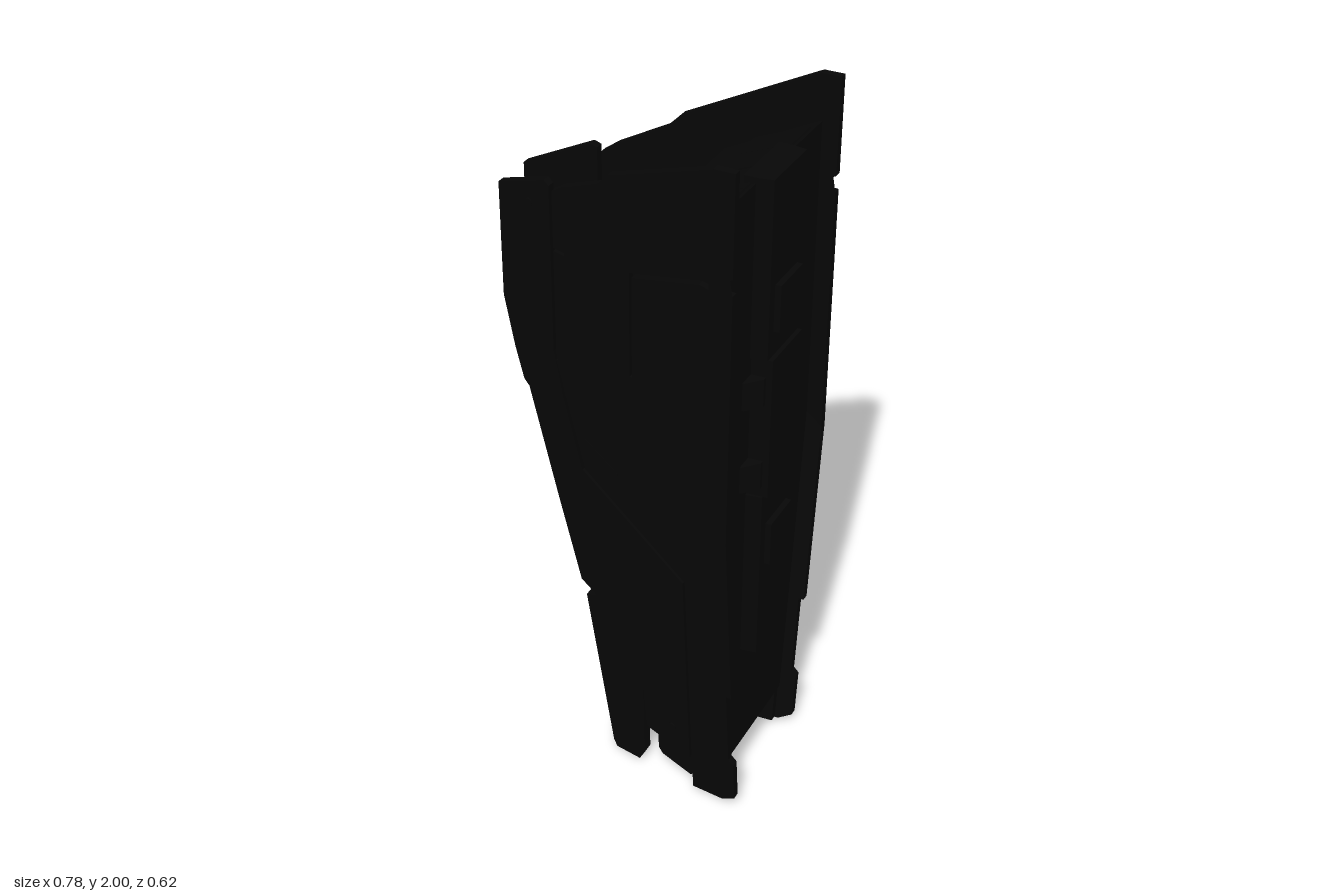
import * as THREE from 'three';

const hullBlack = new THREE.MeshStandardMaterial({ color: 0x070707 });
hullBlack.name = 'hull black';

// Planes z = a + b*x + c*y. The flank is the lowest of: upper wedge, lower taper, rear taper, flat rear edge
const FLANK = [[0.205, 0.335, 0], [0.107, 0.366, 0.088], [0.17, 0.09, 0.108], [0.31, 0, 0]];
const LEG_FLANK = [[0.147, 0.18, -0.056]];
const planeZ = (p, x, y) => p[0] + p[1] * x + p[2] * y;

// Keep the part of an outline where f(x, y) <= 0
function clip(points, f) {
  const out = [];
  points.forEach((p, i) => {
    const q = points[(i + 1) % points.length];
    const a = f(...p), b = f(...q);
    if (a <= 0) out.push(p);
    if (a * b < 0) {
      const t = a / (a - b);
      out.push([p[0] + (q[0] - p[0]) * t, p[1] + (q[1] - p[1]) * t]);
    }
  });
  return out;
}

// Extrude a side outline, folded along the creases between planes; place(surfaceZ, t) gives z
function foldedSlab(name, outline, place, planes = FLANK) {
  const group = new THREE.Group();
  group.name = name;
  for (const plane of planes) {
    let points = outline;
    for (const other of planes) {
      if (other !== plane) points = clip(points, (x, y) => planeZ(plane, x, y) - planeZ(other, x, y));
    }
    if (points.length < 3) continue;
    const shape = new THREE.Shape(points.map((p) => new THREE.Vector2(...p)));
    const geometry = new THREE.ExtrudeGeometry(shape, { depth: 1, bevelEnabled: false });
    const pos = geometry.attributes.position;
    for (let i = 0; i < pos.count; i++) {
      pos.setZ(i, place(planeZ(plane, pos.getX(i), pos.getY(i)), pos.getZ(i)));
    }
    geometry.computeVertexNormals();
    const mesh = new THREE.Mesh(geometry, hullBlack);
    mesh.name = name + 'Face';
    group.add(mesh);
  }
  return group;
}

// Mirrored pair of slabs on both flanks
function sidePair(model, name, outline, offset, thickness, planes) {
  for (const side of [1, -1]) {
    model.add(foldedSlab(name, outline, (s, t) =>
      side * (s + offset - thickness * (side > 0 ? 1 - t : t)), planes));
  }
}

// Block on the rear face with sloping flanks
function rearBlock(name, y0, y1, zBase, zTop, xTop) {
  const half = [[zBase, 0.298], [zBase, 0.335], [zTop, xTop]];
  const outline = [...half, ...half.map(([z, x]) => [-z, x]).reverse()];
  const shape = new THREE.Shape(outline.map((p) => new THREE.Vector2(...p)));
  const geometry = new THREE.ExtrudeGeometry(shape, { depth: y1 - y0, bevelEnabled: false });
  const pos = geometry.attributes.position;
  for (let i = 0; i < pos.count; i++) {
    pos.setXYZ(i, pos.getY(i), pos.getZ(i) + y0, pos.getX(i));
  }
  geometry.computeVertexNormals();
  const mesh = new THREE.Mesh(geometry, hullBlack);
  mesh.name = name;
  return mesh;
}

export function createModel() {
  const model = new THREE.Group();
  model.name = 'wedgeHull';

  // Solid core between the side plates
  model.add(foldedSlab('core', [[0.33, 0.12], [0.33, 1.875], [0.1, 1.78], [-0.1, 1.57], [-0.22, 1.45],
    [-0.32, 1.36], [-0.32, 1.2], [-0.13, 0.5], [-0.04, 0.12]], (s, t) => (s - 0.02) * (2 * t - 1)));

  // Side plates, split by narrow grooves
  sidePair(model, 'frontPlate', [[-0.39, 1.38], [-0.39, 1.705], [-0.225, 1.77], [-0.208, 1.76], [-0.208, 1.29],
    [-0.125, 0.95], [0.232, 0.775], [0.232, 0.12], [0.065, 0.12], [0.052, 0.42], [0.032, 0.448], [-0.11, 0.512],
    [-0.165, 0.535], [-0.23, 0.79], [-0.312, 1.13], [-0.33, 1.145]], 0, 0.024);
  sidePair(model, 'upperPlate', [[-0.198, 1.29], [-0.198, 1.585], [-0.16, 1.585], [-0.16, 1.595], [-0.198, 1.595],
    [-0.198, 1.75], [-0.16, 1.775], [-0.04, 1.83], [-0.005, 1.865], [0.32, 2], [0.375, 2], [0.375, 1.735],
    [0.345, 1.718], [0.285, 1.712], [0.062, 1.632], [0.062, 1.34], [0.07, 1.34], [0.07, 1.622], [0.285, 1.695],
    [0.375, 1.69], [0.375, 0.78], [0.24, 0.785], [-0.115, 0.96]], 0, 0.022);
  sidePair(model, 'rearLowerPlate', [[0.24, 0.79], [0.375, 0.79], [0.375, 0.43], [0.36, 0.43], [0.36, 0.18],
    [0.375, 0.165], [0.375, 0.03], [0.335, 0.006], [0.24, 0.006]], 0, 0.022);

  // Legs
  sidePair(model, 'frontLeg', [[-0.15, 0.485], [-0.11, 0.5], [0.03, 0.435], [0.045, 0.41], [0.066, 0.03],
    [0.05, 0], [-0.032, 0], [-0.044, 0.02]], 0, 0.036, LEG_FLANK);
  sidePair(model, 'middleLeg', [[0.1, 0.3], [0.1, 0.045], [0.115, 0.03], [0.225, 0.03], [0.235, 0.045],
    [0.235, 0.3]], -0.015, 0.035);
  sidePair(model, 'rearLeg', [[0.245, 0.3], [0.245, 0.01], [0.325, 0.01], [0.325, 0.3]], -0.01, 0.035);

  // Raised seam on the front of the flanks
  sidePair(model, 'frontSeam', [[-0.19, 1.27], [-0.112, 1.07], [0.01, 1.015], [0.01, 1.007], [-0.118, 1.062],
    [-0.198, 1.27]], 0.002, 0.006);

  for (const side of [1, -1]) {
    // Round fasteners
    for (const [x, y] of [[-0.28, 1.69], [0.17, 0.2]]) {
      const z = Math.min(...FLANK.map((p) => planeZ(p, x, y)));
      const bolt = new THREE.Mesh(new THREE.CylinderGeometry(0.011, 0.011, 0.012, 16), hullBlack);
      bolt.name = 'fastener';
      bolt.rotation.x = Math.PI / 2;
      bolt.position.set(x, y, side * z);
      model.add(bolt);
    }
    // Raised deck panels on the sloping top
    for (const z of [0.075, 0.19]) {
      const panel = new THREE.Mesh(new THREE.BoxGeometry(0.16, 0.01, 0.108), hullBlack);
      panel.name = 'deckPanel';
      panel.position.set(0.245, 1.84, side * z);
      panel.rotation.z = 0.39;
      model.add(panel);
    }
  }

  // Spine on the rear face with raised pads and side lugs
  model.add(rearBlock('upperSpine', 1.4, 1.89, 0.1, 0.093, 0.374));
  model.add(rearBlock('spineWaist', 0.99, 1.4, 0.092, 0.087, 0.386));
  model.add(rearBlock('lowerSpine', 0.475, 0.99, 0.1, 0.093, 0.374));
  for (const [y0, y1] of [[1.47, 1.6], [0.76, 0.89]]) {
    model.add(rearBlock('spinePad', y0, y1, 0.068, 0.063, 0.39));
  }
  for (const [y0, y1] of [[1.27, 1.35], [1.02, 1.1]]) {
    model.add(rearBlock('spineLug', y0, y1, 0.14, 0.1, 0.37));
  }
  return model;
}
